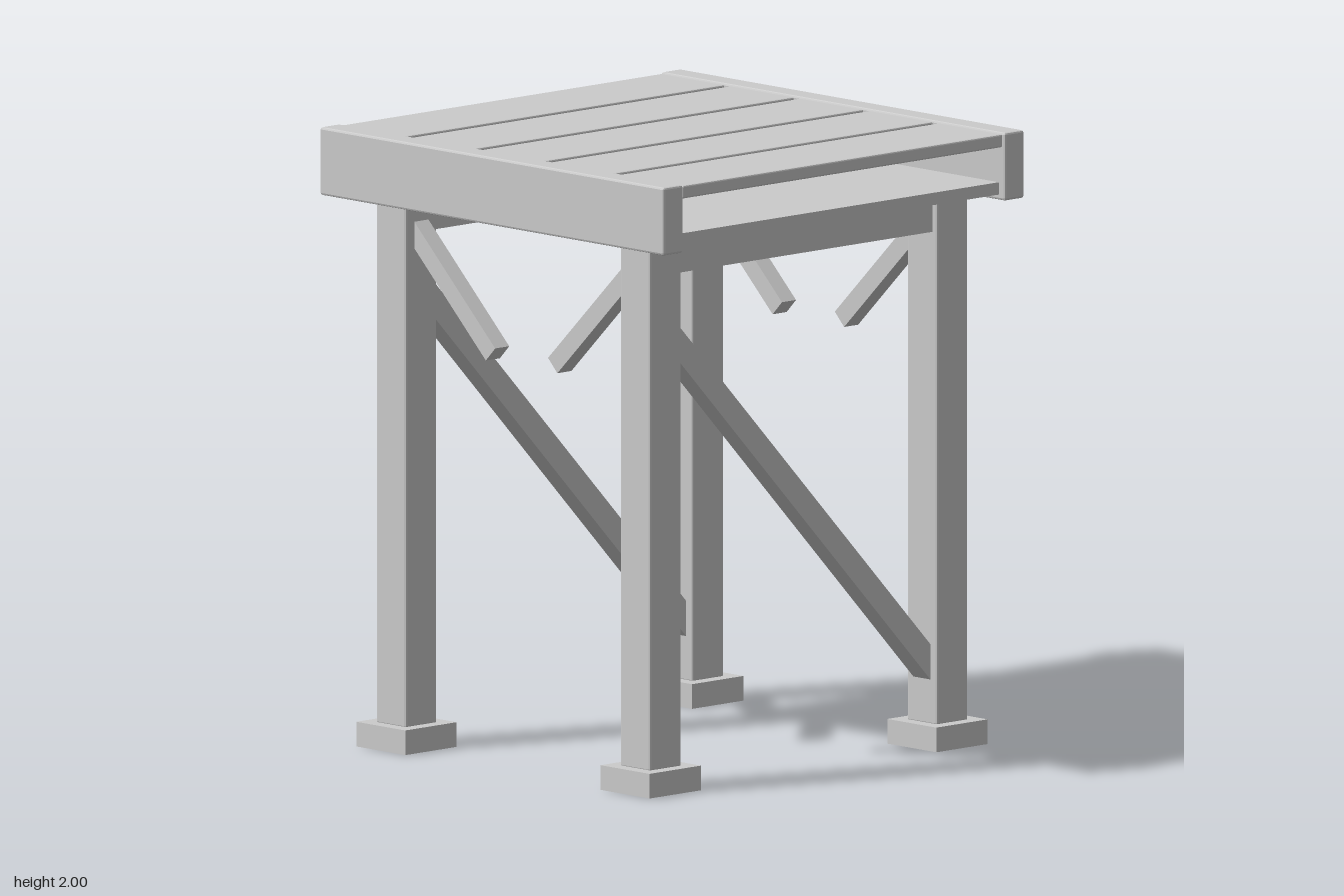
import * as THREE from 'three';
import { RoundedBoxGeometry } from 'three/addons/geometries/RoundedBoxGeometry.js';

const material = new THREE.MeshStandardMaterial({ color: 0xcccccc, flatShading: true });

export function createModel() {
  const model = new THREE.Group();
  model.name = 'platform';

  function add(name, geometry, x, y, z) {
    const mesh = new THREE.Mesh(geometry, material);
    mesh.name = name;
    mesh.position.set(x, y, z);
    model.add(mesh);
    return mesh;
  }
  const box = (w, h, d) => new THREE.BoxGeometry(w, h, d);
  // Box with a small one-step chamfer
  const bevelled = (w, h, d, r = 0.007) => new RoundedBoxGeometry(w, h, d, 1, r);

  // Square timber from point a to point b
  function strut(name, a, b, size) {
    const mesh = add(name, box(size, size, a.distanceTo(b)), 0, 0, 0);
    mesh.position.copy(a).add(b).multiplyScalar(0.5);
    mesh.lookAt(b);
    return mesh;
  }

  const postX = 0.566, postZ = 0.633;

  for (const sx of [-1, 1]) {
    for (const sz of [-1, 1]) {
      const x = sx * postX, z = sz * postZ;
      // Feet and posts
      add('foot', box(0.227, 0.08, 0.227), x, 0.04, z);
      add('post', bevelled(0.138, 1.7, 0.138), x, 0.925, z);
      // Short knee braces pointing inwards
      strut('kneeBrace', new THREE.Vector3(sx * 0.55, 1.723, z),
        new THREE.Vector3(sx * 0.144, 1.328, z), 0.062);
    }
    // Side rail and long diagonal, high at the front and low at the back
    add('sideRail', box(0.1, 0.1, 1.15), sx * postX, 1.725, 0);
    strut('diagonalBrace', new THREE.Vector3(sx * postX, 1.525, 0.625),
      new THREE.Vector3(sx * postX, 0.215, -0.625), 0.079);
  }

  // Front and back fascia boards
  for (const sz of [-1, 1])
    add('fascia', bevelled(1.594, 0.22, 0.086), 0, 1.89, sz * 0.753);

  // Lower panel beneath the deck
  add('lowerPanel', box(1.56, 0.04, 1.4), 0, 1.82, 0);

  // Deck planks with narrow gaps
  for (let i = -2; i <= 2; i++)
    add('plank', bevelled(0.294, 0.042, 1.412, 0.005), i * 0.322, 1.975, 0);

  return model;
}
